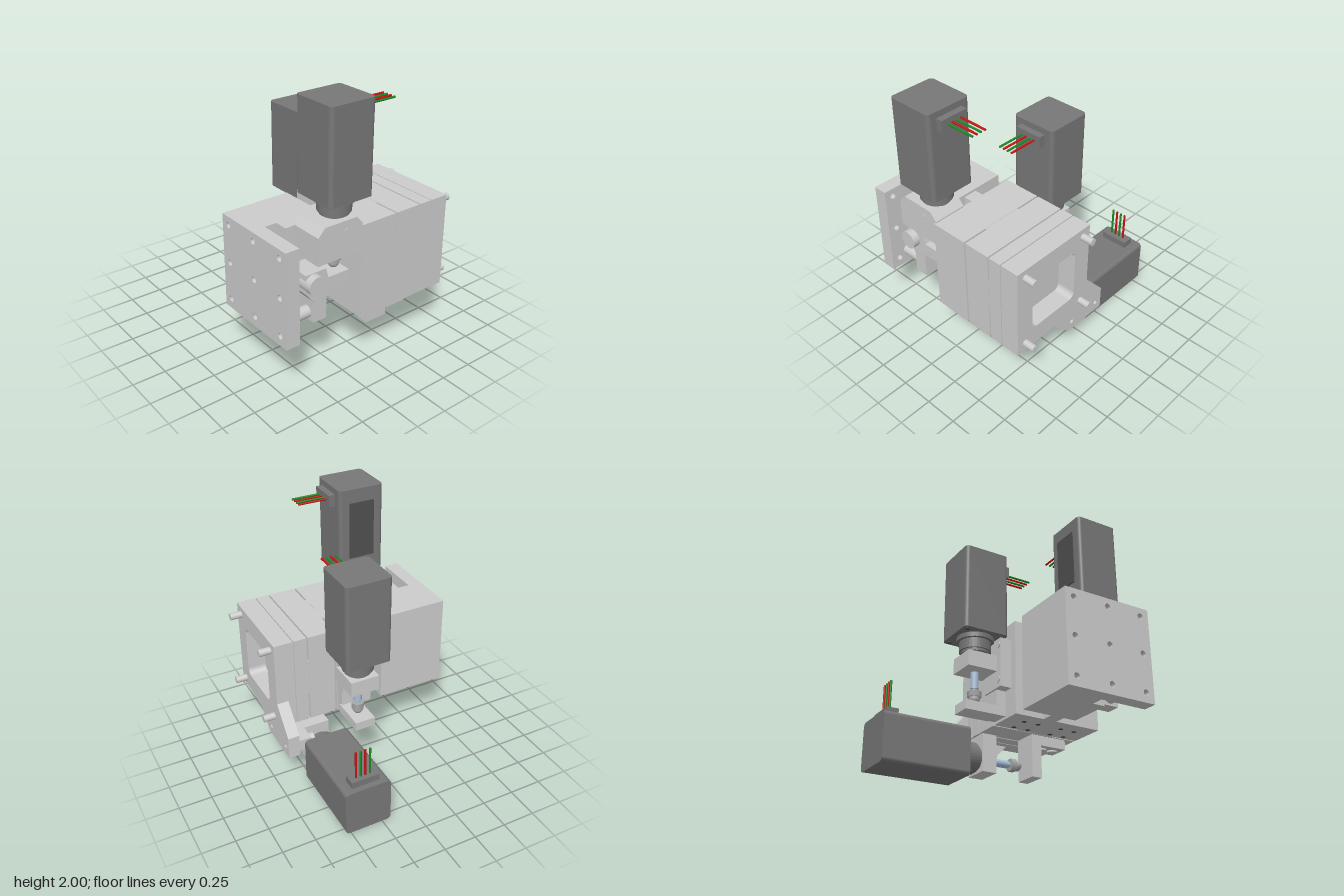
import * as THREE from 'three';

const mat = (color) => new THREE.MeshStandardMaterial({ color });
const grey = mat(0xcccccc), dark = mat(0x777777), steel = mat(0xa9c0d8), nutGrey = mat(0xa8a8a8);
const red = mat(0xcc1111), green = mat(0x1c8a24), black = mat(0x505050);

function add(parent, name, geometry, material = grey) {
  const mesh = new THREE.Mesh(geometry, material);
  mesh.name = name;
  parent.add(mesh);
  return mesh;
}

// Box given by its limits on each axis
function box(parent, name, [x0, x1], [y0, y1], [z0, z1], material = grey) {
  const m = add(parent, name, new THREE.BoxGeometry(x1 - x0, y1 - y0, z1 - z0), material);
  m.position.set((x0 + x1) / 2, (y0 + y1) / 2, (z0 + z1) / 2);
  return m;
}

// Cylinder between two points
function rod(parent, name, a, b, r, material = grey, sides = 28) {
  const p = new THREE.Vector3(...a), q = new THREE.Vector3(...b), d = q.clone().sub(p);
  const m = add(parent, name, new THREE.CylinderGeometry(r, r, d.length(), sides), material);
  m.position.copy(p).add(q).multiplyScalar(0.5);
  m.quaternion.setFromUnitVectors(new THREE.Vector3(0, 1, 0), d.normalize());
  return m;
}

// Rounded rectangle traced into a Shape or Path
function roundRect(path, x0, y0, x1, y1, r) {
  path.moveTo(x0 + r, y0);
  path.lineTo(x1 - r, y0).absarc(x1 - r, y0 + r, r, -Math.PI / 2, 0);
  path.lineTo(x1, y1 - r).absarc(x1 - r, y1 - r, r, 0, Math.PI / 2);
  path.lineTo(x0 + r, y1).absarc(x0 + r, y1 - r, r, Math.PI / 2, Math.PI);
  path.lineTo(x0, y0 + r).absarc(x0 + r, y0 + r, r, Math.PI, Math.PI * 1.5);
  return path;
}

const polygon = (points) => new THREE.Shape(points.map((p) => new THREE.Vector2(...p)));
const circle = (x, y, r) => new THREE.Path().absarc(x, y, r, 0, Math.PI * 2, true);
const extrude = (shape, depth) =>
  new THREE.ExtrudeGeometry(shape, { depth, bevelEnabled: false, curveSegments: 10 });

// Profile drawn in (z, y), extruded along x
function sideProfile(parent, name, points, x0, x1) {
  const m = add(parent, name, extrude(polygon(points.map(([z, y]) => [-z, y])), x1 - x0));
  m.rotation.y = Math.PI / 2;
  m.position.x = x0;
  return m;
}

// Motor with axis along +y, origin where its collar meets the bracket
function motor(name, tip, hasPanel) {
  const g = new THREE.Group();
  g.name = name;
  const body = add(g, 'motorBody', extrude(roundRect(new THREE.Shape(), -0.18, -0.178, 0.18, 0.178, 0.03), 0.67), dark);
  body.rotation.x = -Math.PI / 2;
  body.position.y = 0.145;
  const collar = [[0, 0], [0.09, 0], [0.09, 0.015], [0.105, 0.015], [0.105, 0.035], [0.118, 0.035],
    [0.118, 0.11], [0.14, 0.11], [0.14, 0.145], [0, 0.145]];
  const collarGeo = new THREE.LatheGeometry(collar.map((p) => new THREE.Vector2(...p)), 36).toNonIndexed();
  collarGeo.computeVertexNormals();
  add(g, 'motorCollar', collarGeo, dark);
  for (const x of [-0.14, 0.14]) for (const z of [-0.14, 0.14])
    rod(g, 'motorScrew', [x, 0.139, z], [x, 0.15, z], 0.016, black, 16);
  if (hasPanel) box(g, 'sidePanel', [-0.1, 0.1], [0.27, 0.71], [-0.186, -0.17], black);

  // Connector and its wires
  box(g, 'connector', [0.17, 0.23], [0.68, 0.77], [-0.108, 0.108], dark);
  [-0.055, -0.018, 0.018, 0.055].forEach((z, i) =>
    rod(g, 'wire', [0.22, 0.727, z], [0.45, 0.727, z], 0.008, i % 2 ? green : red, 10));

  // Spindle, hexagonal nut and rounded tip
  rod(g, 'spindle', [0, 0, 0], [0, -tip + 0.12, 0], 0.03, steel);
  rod(g, 'spindleNeck', [0, -tip + 0.14, 0], [0, -tip + 0.05, 0], 0.02, steel);
  rod(g, 'hexNut', [0, -tip + 0.1, 0], [0, -tip + 0.055, 0], 0.052, nutGrey, 6);
  rod(g, 'tipShank', [0, -tip + 0.06, 0], [0, -tip + 0.04, 0], 0.04, nutGrey);
  add(g, 'tipBall', new THREE.SphereGeometry(0.04, 24, 16), nutGrey).position.y = -tip + 0.04;
  return g;
}

export function createModel() {
  const model = new THREE.Group();
  model.name = 'threeAxisStage';
  const X = [0.055, 0.775], Y = [0.4, 1.12];

  // Main body in slices separated by slits and a shallow groove
  const body = new THREE.Group();
  body.name = 'stageBody';
  model.add(body);
  box(body, 'frontSlice', X, Y, [-0.176, 0.118]);
  box(body, 'frontCore', [0.26, 0.57], [0.402, 1.118], [-0.2, -0.17]);
  box(body, 'middleSlice', X, Y, [-0.398, -0.19]);
  box(body, 'middleCore', [0.058, 0.772], [0.63, 0.92], [-0.42, -0.39]);
  box(body, 'rearSlice', X, Y, [-0.51, -0.41]);
  box(body, 'grooveCore', [0.067, 0.763], [0.412, 1.108], [-0.522, -0.505]);

  // Rear ring and back plate with a deep rounded window and a lower wing
  const window = () => roundRect(new THREE.Path(), 0.2, 0.55, 0.63, 0.97, 0.05);
  const ring = polygon([[0.055, 0.4], [0.775, 0.4], [0.775, 1.12], [0.055, 1.12]]);
  ring.holes.push(window());
  add(body, 'rearRing', extrude(ring, 0.062)).position.z = -0.58;
  const plate = polygon([[0.055, 1.12], [0.055, 0.62], [-0.125, 0.42], [-0.125, 0.24], [0.24, 0.24],
    [0.4, 0.4], [0.775, 0.4], [0.775, 1.12]]);
  plate.holes.push(window(), circle(-0.065, 0.315, 0.018), circle(0.205, 0.315, 0.018));
  add(body, 'backPlate', extrude(plate, 0.09)).position.z = -0.665;
  for (const x of [0.125, 0.7]) for (const y of [0.47, 1.055])
    rod(body, 'rearStud', [x, y, -0.65], [x, y, -0.755], 0.027);

  // Front plate with a grid of holes, and the carriage behind it
  const front = polygon([[0.055, 0.4], [0.775, 0.4], [0.775, 1.12], [0.055, 1.12]]);
  for (const x of [0.125, 0.415, 0.705]) for (const y of [0.475, 0.765, 1.055]) front.holes.push(circle(x, y, 0.023));
  add(model, 'frontPlate', extrude(front, 0.108)).position.z = 0.645;
  box(model, 'carriage', [0.055, 0.5], Y, [0.21, 0.552]);
  box(model, 'carriageFront', [0.055, 0.4], Y, [0.55, 0.65]);
  box(model, 'carriageLink', [0.29, 0.4], [0.4, 1.1], [0.11, 0.22]);

  // T-shaped stop arm on the carriage, with its pin and stud
  sideProfile(model, 'stopArm', [[0.16, 0.66], [0.355, 0.66], [0.355, 0.455], [0.465, 0.455], [0.465, 0.62],
    [0.53, 0.7], [0.53, 0.84], [0.36, 0.84], [0.34, 0.765], [0.16, 0.765]], 0.49, 0.69);
  rod(model, 'stopPin', [0.5, 0.765, 0.47], [0.745, 0.765, 0.47], 0.07);
  rod(model, 'stopStud', [0.62, 0.515, 0.45], [0.62, 0.515, 0.65], 0.045);

  // Bracket of the front motor
  sideProfile(model, 'frontMotorBracket', [[0.11, 0.925], [0.485, 0.925], [0.485, 1.13], [0.43, 1.19],
    [0.165, 1.19], [0.11, 1.13]], 0.505, 0.762);
  rod(model, 'bracketScrew', [0.75, 1.11, 0.245], [0.766, 1.11, 0.245], 0.024);

  // Bracket and stop of the side motor
  box(model, 'sideMotorBracket', [-0.27, -0.03], [0.74, 0.86], [-0.215, 0.01]);
  box(model, 'sideBracketPlate', [-0.035, 0.06], [0.61, 0.99], [-0.168, 0.06]);
  box(model, 'sideStopArm', [-0.27, 0.0], [0.42, 0.49], [-0.18, -0.02]);
  box(model, 'sideStopPlate', [-0.02, 0.06], [0.42, 0.705], [-0.168, -0.02]);
  for (const y of [0.67, 0.94]) rod(model, 'plateScrew', [-0.03, y, 0.03], [-0.042, y, 0.03], 0.024);

  // Bracket and stop of the lower motor
  box(model, 'lowerMotorBracket', [0.015, 0.13], [0.075, 0.36], [-0.478, -0.27]);
  box(model, 'lowerBracketFoot', [-0.115, 0.26], [0.27, 0.36], [-0.578, -0.475]);
  for (const x of [-0.065, 0.205]) {
    rod(model, 'footScrew', [x, 0.315, -0.48], [x, 0.315, -0.44], 0.042);
    rod(model, 'footScrewSocket', [x, 0.315, -0.45], [x, 0.315, -0.438], 0.018, black, 6);
  }
  box(model, 'lowerStopArm', [0.4, 0.482], [0.075, 0.4], [-0.4, -0.205]);
  box(model, 'lowerStopBase', [0.4, 0.7], [0.325, 0.402], [-0.375, -0.205]);
  for (const x of [0.54, 0.635]) rod(model, 'baseScrew', [x, 0.33, -0.29], [x, 0.312, -0.29], 0.04);
  for (const x of [0.2, 0.32, 0.52, 0.64]) for (const z of [-0.14, 0.0])
    rod(model, 'bottomHole', [x, 0.41, z], [x, 0.398, z], 0.018, black, 16);

  // Three motors
  const side = motor('sideMotor', 0.37, false);
  side.position.set(-0.155, 0.863, -0.105);
  const upper = motor('frontMotor', 0.4, true);
  upper.position.set(0.625, 1.185, 0.245);
  upper.rotation.y = Math.PI / 2;
  const lower = motor('lowerMotor', 0.385, false);
  lower.position.set(0.01, 0.184, -0.36);
  lower.rotation.z = Math.PI / 2;
  model.add(side, upper, lower);
  return model;
}
